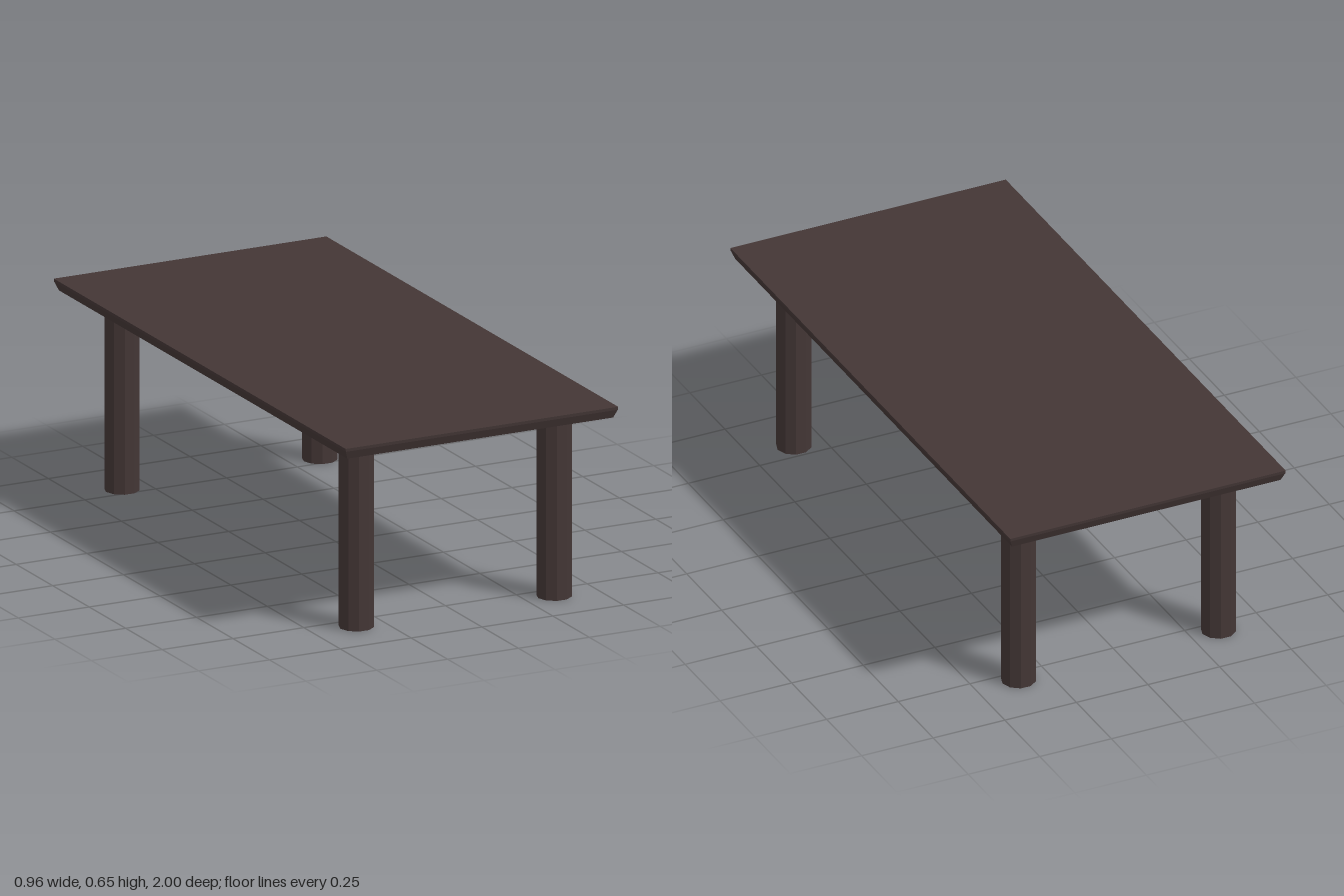
import * as THREE from 'three';

// Rectangular slab from stacked rings: [height, inset from the outer edge]
function slabGeometry(halfX, halfZ, rings) {
  const corners = [[-1, 1], [1, 1], [1, -1], [-1, -1]];
  const points = rings.map(([y, inset]) =>
    corners.map(([sx, sz]) => [sx * (halfX - inset), y, sz * (halfZ - inset)]));
  const positions = [];
  const quad = (a, b, c, d) => positions.push(...a, ...b, ...c, ...a, ...c, ...d);
  for (let r = 0; r < points.length - 1; r++) {
    for (let i = 0; i < 4; i++) {
      const j = (i + 1) % 4;
      quad(points[r][i], points[r][j], points[r + 1][j], points[r + 1][i]);
    }
  }
  const bottom = points[0];
  quad(bottom[3], bottom[2], bottom[1], bottom[0]);
  quad(...points[points.length - 1]);
  const geometry = new THREE.BufferGeometry();
  geometry.setAttribute('position', new THREE.Float32BufferAttribute(positions, 3));
  geometry.computeVertexNormals();
  return geometry;
}

export function createModel() {
  const group = new THREE.Group();
  group.name = 'table';
  const darkWood = new THREE.MeshStandardMaterial({ color: 0x433635, flatShading: true });
  darkWood.name = 'darkWood';

  // Table top with a bevelled underside
  const top = new THREE.Mesh(
    slabGeometry(0.481, 1, [[0.608, 0.041], [0.618, 0.012], [0.645, 0.001], [0.655, 0]]),
    darkWood);
  top.name = 'tableTop';
  group.add(top);

  // Four ten-sided legs
  const legHeight = 0.609;
  const legGeometry = new THREE.CylinderGeometry(0.056, 0.056, legHeight, 10, 1, false, Math.PI / 2);
  for (const [zName, z] of [['front', 0.813], ['back', -0.793]]) {
    for (const [xName, x] of [['Left', 0.351], ['Right', -0.347]]) {
      const leg = new THREE.Mesh(legGeometry, darkWood);
      leg.name = `${zName}${xName}Leg`;
      leg.position.set(x, legHeight / 2, z);
      group.add(leg);
    }
  }
  return group;
}
